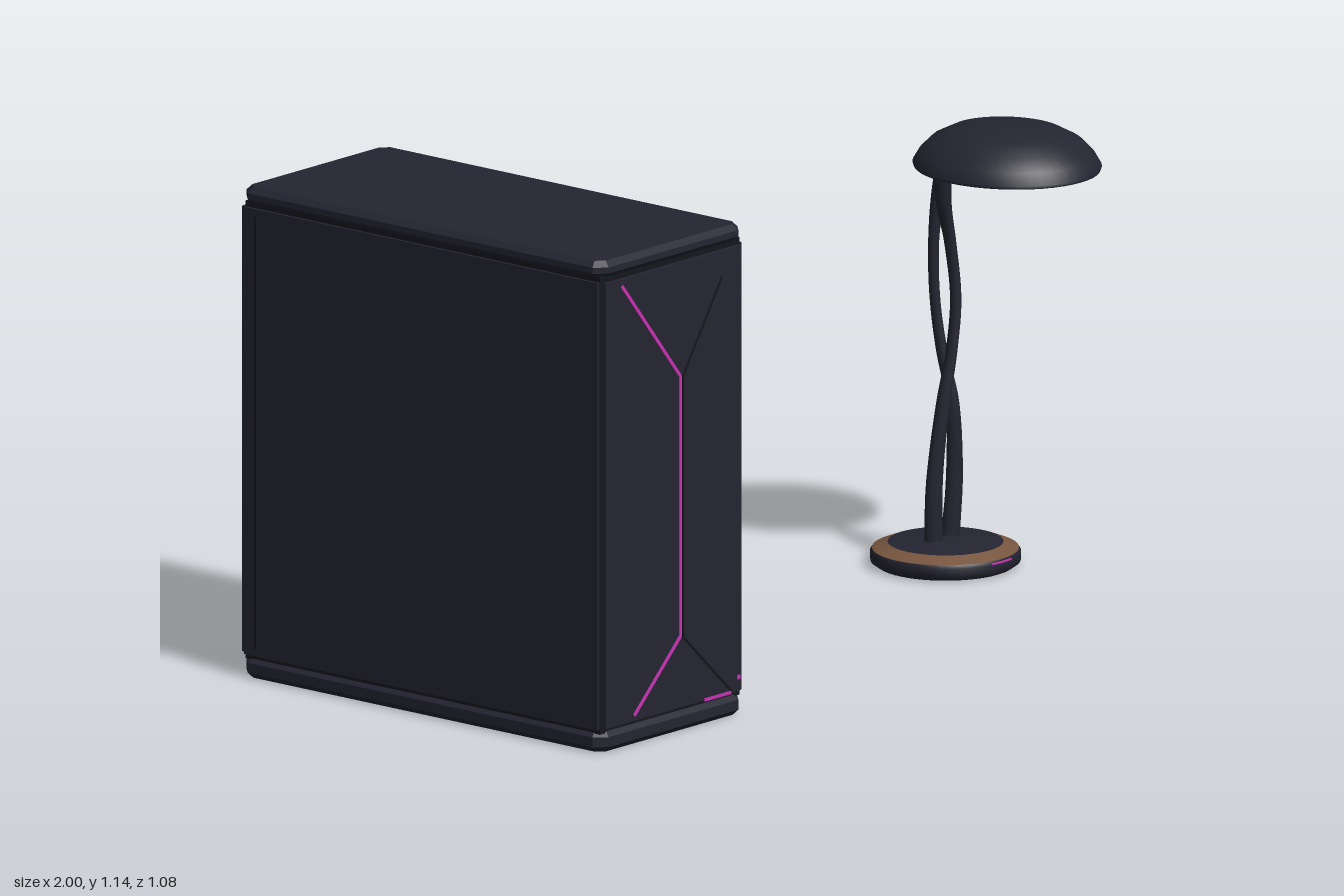
import * as THREE from 'three';

const mat = (name, color, side = THREE.FrontSide) => {
  const m = new THREE.MeshStandardMaterial({ color, side });
  m.name = name;
  return m;
};

export function createModel() {
  const dark = mat('dark shell', 0x242531);
  const trim = mat('black trim', 0x16171e);
  const brown = mat('bronze', 0x78563f);
  const glow = mat('warm diffuser', 0xb5a585);
  const pink = mat('magenta light', 0xc832b4);

  const root = new THREE.Group();
  root.name = 'computerAndLamp';
  const add = (parent, name, geo, material, x = 0, y = 0, z = 0) => {
    const mesh = new THREE.Mesh(geo, material);
    mesh.name = name;
    mesh.position.set(x, y, z);
    parent.add(mesh);
    return mesh;
  };

  // ---- Computer tower ----
  const tower = new THREE.Group();
  tower.name = 'tower';
  tower.position.x = -0.752;
  root.add(tower);

  // Slab with cut corners and chamfered edges, lying between y0 and y1
  const cap = (name, w, d, y0, y1) => {
    const b = 0.013, c = 0.018, x = w / 2 - b, z = d / 2 - b;
    const s = new THREE.Shape([
      [-x + c, -z], [x - c, -z], [x, -z + c], [x, z - c],
      [x - c, z], [-x + c, z], [-x, z - c], [-x, -z + c],
    ].map(p => new THREE.Vector2(...p)));
    const geo = new THREE.ExtrudeGeometry(s, {
      depth: y1 - y0 - 2 * b, bevelEnabled: true, bevelThickness: b, bevelSize: b, bevelSegments: 1,
    });
    geo.rotateX(-Math.PI / 2);
    add(tower, name, geo, dark, 0, y0 + b, 0);
  };
  cap('baseCap', 0.496, 1.074, 0.003, 0.052);
  cap('topCap', 0.496, 1.074, 1.1, 1.14);

  add(tower, 'core', new THREE.BoxGeometry(0.478, 1.06, 1.052), trim, 0, 0.576, 0);
  for (const s of [-1, 1]) {
    add(tower, 'sidePanel', new THREE.BoxGeometry(0.012, 1.036, 1.05), dark, s * 0.24, 0.575, 0);
  }
  add(tower, 'frontPanel', new THREE.BoxGeometry(0.462, 1.03, 0.016), dark, 0, 0.575, 0.529);
  add(tower, 'backPanel', new THREE.BoxGeometry(0.47, 1.032, 0.016), dark, 0, 0.575, -0.532);
  // Door seam near the rear edge of the right side panel
  add(tower, 'doorSeam', new THREE.BoxGeometry(0.002, 1.0, 0.006), trim, -0.2465, 0.575, -0.49);

  // Thin straight plates laid on the front panel
  const strip = (name, a, b, width, material) => {
    const dx = b[0] - a[0], dy = b[1] - a[1];
    const m = add(tower, name, new THREE.BoxGeometry(Math.hypot(dx, dy), width, 0.003), material,
      (a[0] + b[0]) / 2, (a[1] + b[1]) / 2, 0.538);
    m.rotation.z = Math.atan2(dy, dx);
  };
  const path = (name, pts, width, material) => {
    for (let i = 1; i < pts.length; i++) strip(name, pts[i - 1], pts[i], width, material);
  };
  path('lightLine', [[-0.178, 1.075], [0.022, 0.828], [0.022, 0.225], [-0.136, 0.072]], 0.008, pink);
  path('frontGroove', [[0.165, 1.03], [0.032, 0.828], [0.032, 0.222], [0.2, 0.062]], 0.005, trim);
  add(tower, 'lightBar', new THREE.BoxGeometry(0.09, 0.007, 0.003), pink, 0.15, 0.0615, 0.5385);
  add(tower, 'powerLight', new THREE.BoxGeometry(0.01, 0.01, 0.003), pink, 0.222, 0.092, 0.538);

  // ---- Desk lamp ----
  const lamp = new THREE.Group();
  lamp.name = 'lamp';
  lamp.position.x = 0.8;
  root.add(lamp);
  const lathe = (name, pts, material, x = 0, y = 0, z = 0) =>
    add(lamp, name, new THREE.LatheGeometry(pts.map(p => new THREE.Vector2(...p)), 48), material, x, y, z);

  // Round foot with a bronze bevel
  lathe('footUnderside', [[0, 0.004], [0.155, 0.004]], dark);
  lathe('footSide', [[0.155, 0.004], [0.169, 0.014], [0.17, 0.034], [0.165, 0.042]], dark);
  lathe('footRing', [[0.165, 0.042], [0.13, 0.056]], brown);
  lathe('footTop', [[0.13, 0.056], [0.06, 0.064], [0, 0.066]], dark);
  const footLight = add(lamp, 'footLight', new THREE.TorusGeometry(0.169, 0.0025, 6, 12, 0.4), pink, 0, 0.036, 0);
  footLight.rotation.set(Math.PI / 2, 0, Math.PI / 2 - 0.2);

  // Tapered twisting stem: rows are x, y, z, width, depth
  const strand = (name, rows, bronzeFrom, bronzeTo) => {
    const centre = new THREE.CatmullRomCurve3(rows.map(r => new THREE.Vector3(r[0], r[1], r[2])));
    const size = new THREE.CatmullRomCurve3(rows.map(r => new THREE.Vector3(r[3], r[4], 0)));
    const rings = 40, sides = 8, pos = [], index = [];
    for (let i = 0; i <= rings; i++) {
      const c = centre.getPoint(i / rings), w = size.getPoint(i / rings);
      for (let j = 0; j < sides; j++) {
        const a = ((j - 0.5) / sides) * Math.PI * 2;
        pos.push(c.x + Math.cos(a) * w.x * 0.54, c.y, c.z + Math.sin(a) * w.y * 0.54);
      }
    }
    const geo = new THREE.BufferGeometry();
    for (let i = 0; i < rings; i++) {
      const y = centre.getPoint((i + 0.5) / rings).y;
      for (let j = 0; j < sides; j++) {
        const a = i * sides + j, b = i * sides + (j + 1) % sides;
        // The outward facet carries the bronze inlay
        geo.addGroup(index.length, 6, j === 0 && y > bronzeFrom && y < bronzeTo ? 1 : 0);
        index.push(a, a + sides, b, b, a + sides, b + sides);
      }
    }
    geo.setAttribute('position', new THREE.Float32BufferAttribute(pos, 3));
    geo.setIndex(index);
    geo.computeVertexNormals();
    add(lamp, name, geo, [dark, brown]);
  };
  strand('frontStem', [
    [-0.034, 0.055, -0.006, 0.045, 0.04], [-0.038, 0.2, 0, 0.042, 0.034], [-0.02, 0.38, 0.01, 0.032, 0.03],
    [0, 0.5, 0.018, 0.024, 0.026], [0.012, 0.62, 0.02, 0.022, 0.026], [0, 0.75, 0.014, 0.024, 0.028],
    [-0.025, 0.85, 0.016, 0.032, 0.036], [-0.038, 0.965, 0.024, 0.042, 0.044],
  ], 0.48, 0.97);
  strand('rearStem', [
    [0.03, 0.055, -0.012, 0.045, 0.04], [0.034, 0.2, -0.003, 0.042, 0.034], [0.018, 0.38, 0.004, 0.032, 0.03],
    [0, 0.5, -0.012, 0.024, 0.026], [-0.01, 0.62, -0.023, 0.022, 0.024], [-0.014, 0.75, -0.023, 0.024, 0.024],
    [-0.008, 0.85, -0.016, 0.032, 0.03], [-0.004, 0.965, 0.006, 0.042, 0.036],
  ], 0, 0.48);

  // Oval shade, longer front to back
  const oval = m => { m.scale.set(0.2, 1, 0.222); return m; };
  oval(lathe('shade', [[0.985, 0.954], [1, 0.962], [0.93, 0.988], [0.8, 1.016], [0.6, 1.038],
    [0.38, 1.049], [0, 1.051]], dark, 0, 0, 0.183));
  oval(lathe('shadeUnderside', [[0, 0.957], [0.985, 0.954]], dark, 0, 0, 0.183));
  lathe('diffuser', [[0, 0.945], [0.15, 0.946], [0.167, 0.955]], glow, 0, 0, 0.215);
  const shadeLight = add(lamp, 'shadeLight', new THREE.TorusGeometry(1, 0.012, 6, 16, 0.9), pink, 0, 0.9545, 0.183);
  shadeLight.geometry.rotateZ(-Math.PI / 2 - 0.45).rotateX(Math.PI / 2);
  shadeLight.scale.set(0.19, 0.2, 0.212);

  return root;
}
